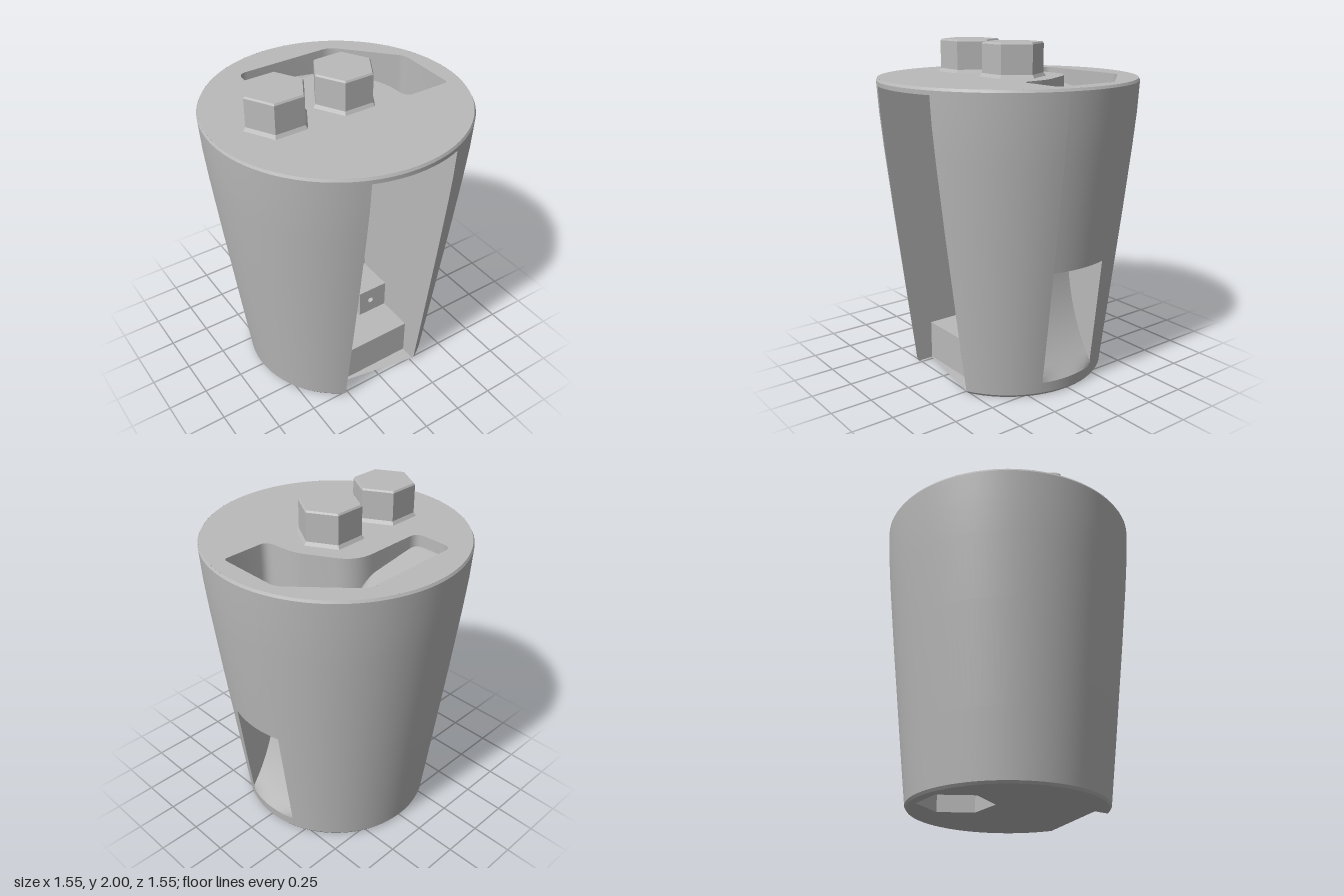
import * as THREE from 'three';
import { toCreasedNormals } from 'three/addons/utils/BufferGeometryUtils.js';

const H = 1.8, SLOT = 0.272, SLOT_TOP = 1.76, SLOT_BACK = -0.06;
const WIN = 0.185, WIN_LOW = 0.08, WIN_TOP = 0.775, RAMP_TOP = 1.05;

// Outer radius of the tapered body at height y
const PROFILE = [[0, 0.575], [0.015, 0.586], [0.4, 0.632], [1, 0.702], [1.4, 0.746], [1.6, 0.765], [1.785, 0.776], [1.8, 0.768]];
function radius(y) {
  let i = 1;
  while (i < PROFILE.length - 1 && y > PROFILE[i][0]) i++;
  const [y0, r0] = PROFILE[i - 1], [y1, r1] = PROFILE[i];
  return r0 + (r1 - r0) * (y - y0) / (y1 - y0);
}
const chord = (y, d) => Math.sqrt(radius(y) ** 2 - d * d);
const lerp = THREE.MathUtils.lerp;

// Grid surface from a rule (u, v in 0..1) -> [x, y, z]
function surface(fn, nu, nv) {
  const pos = [], idx = [];
  for (let j = 0; j <= nv; j++) for (let i = 0; i <= nu; i++) pos.push(...fn(i / nu, j / nv));
  for (let j = 0; j < nv; j++) for (let i = 0; i < nu; i++) {
    const a = j * (nu + 1) + i, b = a + nu + 1;
    idx.push(a, a + 1, b, a + 1, b + 1, b);
  }
  const g = new THREE.BufferGeometry();
  g.setAttribute('position', new THREE.Float32BufferAttribute(pos, 3));
  g.setIndex(idx);
  g.computeVertexNormals();
  return g;
}

export function createModel() {
  const group = new THREE.Group();
  const grey = new THREE.MeshStandardMaterial({ color: 0xbababa, side: THREE.DoubleSide });
  grey.name = 'plain grey';
  const add = (name, geo, x = 0, y = 0, z = 0) => {
    const m = new THREE.Mesh(geo, grey);
    m.name = name;
    m.position.set(x, y, z);
    group.add(m);
    return m;
  };

  // Tapered outer wall, in patches around the front slot and the side window
  const slotA = y => Math.asin(SLOT / radius(y)), winA = y => Math.asin(WIN / radius(y));
  const wall = (name, a0, a1, y0, y1, nu) => {
    const ys = [y0, ...PROFILE.map(p => p[0]).filter(y => y > y0 && y < y1), y1];
    add(name, toCreasedNormals(surface((u, v) => {
      const y = ys[Math.round(v * (ys.length - 1))], r = radius(y), a = lerp(a0(y), a1(y), u);
      return [r * Math.sin(a), y, r * Math.cos(a)];
    }, nu, ys.length - 1), 0.4));
  };
  const winL = y => Math.PI / 2 - winA(y), winR = y => Math.PI / 2 + winA(y);
  wall('wallFrontLeft', slotA, winL, 0, H, 20);
  wall('wallBack', winR, y => 2 * Math.PI - slotA(y), 0, H, 80);
  wall('wallAboveWindow', winL, winR, WIN_TOP, H, 12);
  wall('wallBelowWindow', winL, winR, 0, WIN_LOW, 12);
  wall('slotLip', y => -slotA(y), slotA, SLOT_TOP, H, 14);

  // Top plate with the chute mouth (shape y is -z)
  const mouth = new THREE.Path();
  mouth.moveTo(-0.25, 0.58).lineTo(0.28, 0.58);
  mouth.quadraticCurveTo(0.34, 0.58, 0.38, 0.53).lineTo(0.63, 0.26);
  mouth.quadraticCurveTo(0.66, 0.23, 0.66, 0.19).lineTo(0.66, -0.15);
  mouth.quadraticCurveTo(0.66, -0.18, 0.63, -0.18).lineTo(0.41, -0.18);
  mouth.quadraticCurveTo(0.36, -0.18, 0.355, -0.12);
  mouth.quadraticCurveTo(0.35, 0, 0.32, 0.06).lineTo(0.23, 0.22);
  mouth.quadraticCurveTo(0.17, 0.33, 0.05, 0.33).lineTo(-0.25, 0.33);
  mouth.quadraticCurveTo(-0.31, 0.33, -0.31, 0.39).lineTo(-0.31, 0.52);
  mouth.quadraticCurveTo(-0.31, 0.58, -0.25, 0.58);
  const topShape = new THREE.Shape().absarc(0, 0, radius(H), 0, Math.PI * 2);
  topShape.holes.push(mouth);
  add('topPlate', new THREE.ShapeGeometry(topShape, 48).rotateX(-Math.PI / 2), 0, H, 0);

  // Chute walls, kept inside the tapering body
  const rim = mouth.getPoints(6);
  const inside = (x, y, z) => {
    const k = Math.min(1, (radius(y) - 0.03) / Math.hypot(x, z));
    return [x * k, y, z * k];
  };
  add('chuteWall', toCreasedNormals(surface((u, v) => {
    const p = rim[Math.round(u * (rim.length - 1))];
    return inside(p.x, lerp(WIN_TOP, H, v), -p.y);
  }, rim.length - 1, 8), 0.6));

  // Chute floor: shallow tray that turns and drops towards the side window
  add('chuteFloor', surface((u, v) => {
    const z = lerp(-0.59, -WIN, v);
    const x = lerp(-0.33, Math.min(0.66, 0.33 + (z + 0.58) * 0.94), u);
    const y = 1.73 - 0.09 * THREE.MathUtils.clamp((x + 0.3) / 0.6, 0, 1)
      - 0.65 * THREE.MathUtils.smoothstep(x * 0.5 + z * 0.87, -0.28, 0.08);
    return inside(x, y, z);
  }, 40, 20));

  // Curved exit ramp, its top shelf and the window cheeks
  const rampX = (y, z) => Math.min(0.345 + 0.25 * ((RAMP_TOP - y) / (RAMP_TOP - WIN_LOW)) ** 3, chord(y, z));
  add('exitRamp', surface((u, v) => {
    const z = lerp(-WIN, WIN, u), y = lerp(WIN_LOW, RAMP_TOP, v);
    return [rampX(y, z), y, z];
  }, 10, 24));
  add('rampShelfBack', surface((u, v) => [lerp(0.22, 0.345, u), RAMP_TOP, lerp(-WIN, -0.07, v)], 1, 1));
  add('rampShelf', surface((u, v) => [lerp(0.28, 0.345, u), RAMP_TOP, lerp(-0.07, WIN, v)], 1, 1));
  for (const s of [-1, 1]) {
    add('windowCheek', surface((u, v) => {
      const y = lerp(WIN_LOW, 1, v);
      const outer = y < WIN_TOP ? chord(y, WIN) : chord(y, WIN) - 0.03;
      return [lerp(rampX(y, WIN), outer, u), y, s * WIN];
    }, 4, 24));
  }
  add('windowHead', surface((u, v) => {
    const z = lerp(-WIN, WIN, u);
    return [chord(WIN_TOP, z) - 0.032 * (1 - v), WIN_TOP, z];
  }, 10, 1));

  // Front slot: cheeks, ceiling, back panel
  for (const s of [-1, 1]) {
    add('slotCheek', surface((u, v) => {
      const y = v * SLOT_TOP;
      return [s * SLOT, y, lerp(SLOT_BACK, chord(y, SLOT), u)];
    }, 1, 20));
  }
  add('slotCeiling', surface((u, v) => {
    const x = lerp(-SLOT, SLOT, u);
    return [x, SLOT_TOP, lerp(SLOT_BACK, chord(SLOT_TOP, x), v)];
  }, 14, 1));
  add('slotBack', new THREE.PlaneGeometry(2 * SLOT, SLOT_TOP), 0, SLOT_TOP / 2, SLOT_BACK);

  // Base step and drilled mounting blocks
  add('slotStep', new THREE.BoxGeometry(2 * SLOT, 0.237, 0.47), 0, 0.1215, 0.175);
  const block = (name, x0, x1, y0, y1, holes) => {
    const s = new THREE.Shape();
    s.moveTo(x0, y0).lineTo(x1, y0).lineTo(x1, y1).lineTo(x0, y1).closePath();
    for (const x of holes) s.holes.push(new THREE.Path().absarc(x, (y0 + y1) / 2, 0.02, 0, Math.PI * 2));
    add(name, new THREE.ExtrudeGeometry(s, { depth: 0.24, bevelEnabled: false, curveSegments: 8 }), 0, 0, SLOT_BACK);
  };
  block('upperMount', -SLOT, SLOT, 1.585, SLOT_TOP, [-0.158, 0.155]);
  block('lowerMountRight', -SLOT, -0.07, 0.24, 0.425, [-0.158]);
  block('lowerMountLeft', 0.07, SLOT, 0.24, 0.425, [0.155]);

  // Underside with the slot notch and a hexagonal pocket
  const r0 = radius(0), a = slotA(0);
  const under = new THREE.Shape();
  under.moveTo(SLOT, -0.41);
  under.absarc(0, 0, r0, -Math.PI / 2 + a, Math.PI * 1.5 - a, false);
  under.lineTo(-SLOT, -0.41).closePath();
  const hexR = 0.22, hexX = 0.02, hexZ = -0.33, hexDepth = 0.22;
  const hexPts = Array.from({ length: 6 }, (_, i) => new THREE.Vector2(
    hexX + hexR * Math.cos(i * Math.PI / 3), -hexZ + hexR * Math.sin(i * Math.PI / 3)));
  under.holes.push(new THREE.Path(hexPts));
  add('underside', new THREE.ShapeGeometry(under, 48).rotateX(-Math.PI / 2));
  const hex = (rTop, rBottom, h, open) => {
    const g = new THREE.CylinderGeometry(rTop, rBottom, h, 6, 1, open).rotateY(Math.PI / 2).toNonIndexed();
    g.computeVertexNormals();
    return g;
  };
  add('pocketWall', hex(hexR, hexR, hexDepth, true), hexX, hexDepth / 2, hexZ);
  add('pocketRoof', new THREE.CircleGeometry(hexR, 6).rotateX(Math.PI / 2), hexX, hexDepth, hexZ);

  // Two hexagonal posts on the top, flared at the foot
  for (const x of [-0.39, 0.047]) {
    add('hexPost', hex(0.183, 0.183, 0.19, true), x, 1.895, 0);
    add('hexPostCap', hex(0.175, 0.183, 0.01, false), x, 1.995, 0);
    add('hexPostFoot', hex(0.183, 0.198, 0.02, true), x, 1.81, 0);
  }
  return group;
}
